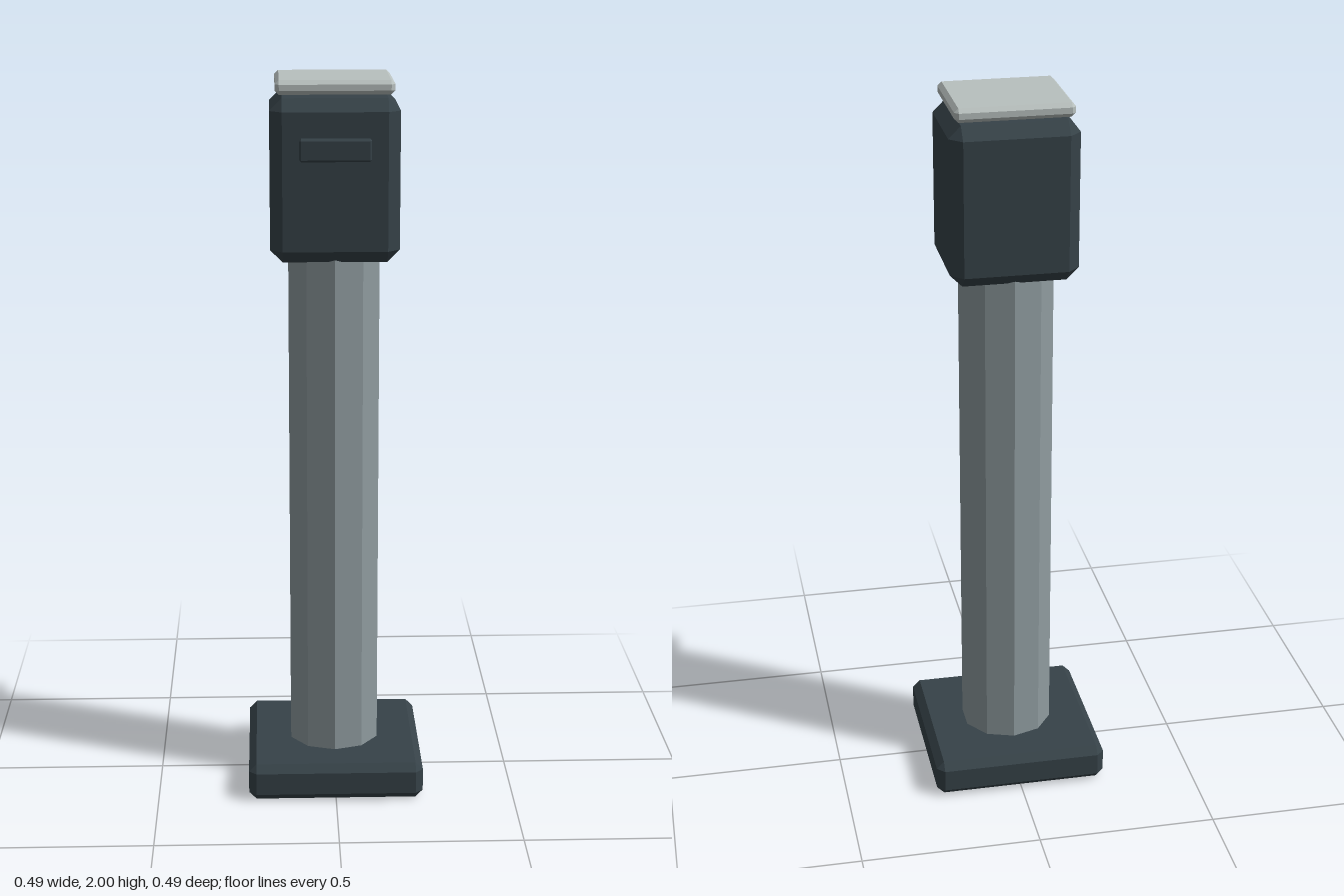
import * as THREE from 'three';
import { ConvexGeometry } from 'three/addons/geometries/ConvexGeometry.js';

const mat = (name, color) => {
  const m = new THREE.MeshStandardMaterial({ color, flatShading: true });
  m.name = name;
  return m;
};

// Box with every edge and corner cut by a flat chamfer c.
function chamferBox(w, h, d, c) {
  const points = [];
  const [x, y, z] = [w / 2, h / 2, d / 2];
  for (const sx of [-1, 1]) for (const sy of [-1, 1]) for (const sz of [-1, 1]) {
    points.push(
      new THREE.Vector3(sx * x, sy * (y - c), sz * (z - c)),
      new THREE.Vector3(sx * (x - c), sy * y, sz * (z - c)),
      new THREE.Vector3(sx * (x - c), sy * (y - c), sz * z)
    );
  }
  return new ConvexGeometry(points);
}

export function createModel() {
  const group = new THREE.Group();
  group.name = 'postTerminal';
  const dark = mat('dark slate', 0x364248);
  const steel = mat('grey steel', 0x8f9b9f);
  const light = mat('light grey', 0xb8c0be);

  const add = (name, geometry, material, y, z = 0) => {
    const mesh = new THREE.Mesh(geometry, material);
    mesh.name = name;
    mesh.position.set(0, y, z);
    group.add(mesh);
  };

  // Foot plate
  add('base', chamferBox(0.49, 0.105, 0.49, 0.021), dark, 0.0525);

  // Ten-sided post with a ridge facing forward
  const postBottom = 0.09, postTop = 1.525;
  add('post', new THREE.CylinderGeometry(0.13, 0.13, postTop - postBottom, 10), steel, (postTop + postBottom) / 2);

  // Head, raised front bar and lid
  add('head', chamferBox(0.346, 0.435, 0.314, 0.033), dark, 1.735);
  add('frontBar', chamferBox(0.19, 0.06, 0.026, 0.005), dark, 1.822, 0.166);
  add('lid', chamferBox(0.316, 0.038, 0.28, 0.011), light, 1.981);

  return group;
}
